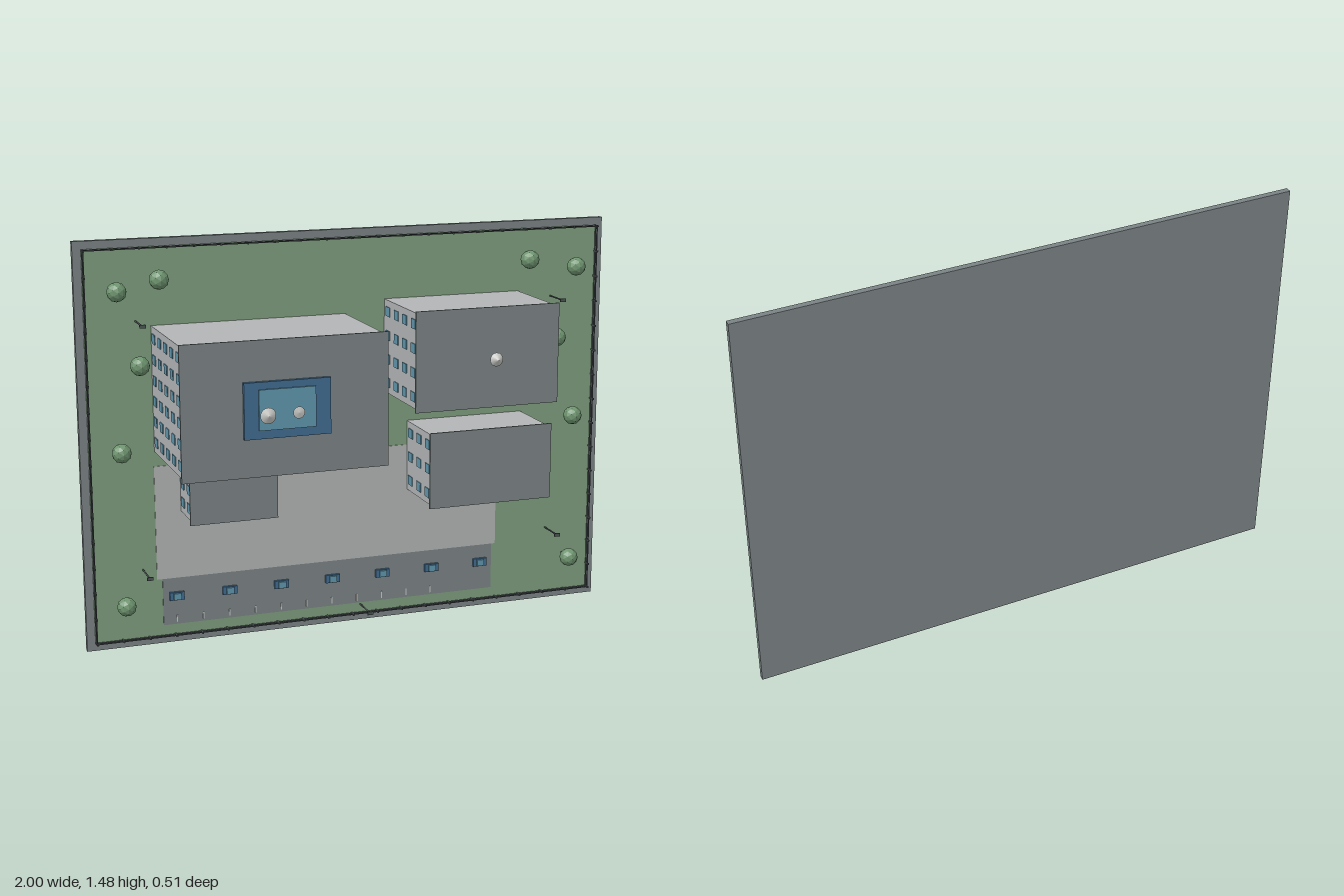
import * as THREE from 'three';

const mat = (name, color) => Object.assign(new THREE.MeshStandardMaterial({ color }), { name });

export function createModel() {
  const M = {
    concrete: mat('concrete', 0x7b8385),
    wall: mat('wall', 0xb2b5b6),
    paving: mat('paving', 0xb0b4b1),
    lawn: mat('lawn', 0x7c9d7c),
    foliage: mat('foliage', 0x6e946f),
    window: mat('window', 0x5f96ac),
    glass: mat('glass', 0x416c90),
    metal: mat('darkMetal', 0x4c5254),
    white: mat('offWhite', 0xc9c9c6),
  };
  M.foliage.flatShading = true;
  const root = new THREE.Group();
  root.name = 'campusModel';

  const add = (name, geo, material, x, y, z, parent = root) => {
    const m = new THREE.Mesh(geo, material);
    m.name = name;
    m.position.set(x, y, z);
    parent.add(m);
    return m;
  };
  // Box given by its limits on each axis
  const box = (name, material, x0, x1, y0, y1, z0, z1, parent) =>
    add(name, new THREE.BoxGeometry(x1 - x0, y1 - y0, z1 - z0), material,
      (x0 + x1) / 2, (y0 + y1) / 2, (z0 + z1) / 2, parent);
  // Round post rising along z
  const post = (name, material, r, x, y, z0, z1, parent) =>
    add(name, new THREE.CylinderGeometry(r, r, z1 - z0, 8).rotateX(Math.PI / 2), material,
      x, y, (z0 + z1) / 2, parent);

  const G = -0.229; // lawn level

  // Base board, lawn and paved areas
  box('baseBoard', M.concrete, -1, 1, 0, 1.475, -0.258, -0.236);
  box('lawn', M.lawn, -0.97, 0.97, 0.03, 1.447, -0.236, G);
  box('plaza', M.paving, -0.74, 0.58, 0.245, 0.665, G, G + 0.003);
  box('path', M.paving, -0.08, 0.07, 0.665, 1.1, G, G + 0.003);
  box('carPark', M.concrete, -0.72, 0.565, 0.07, 0.245, G, G + 0.003);
  box('pool', M.window, -0.1, 0.047, 0.775, 1.005, G, G + 0.007);

  // Buildings: outline of the roof, roof height, window rows and columns, width of the glass front
  const columns = [-0.187, -0.102, -0.018, 0.067, 0.152];
  const building = (name, x0, x1, y0, y1, top, rows, cols, front) => {
    const g = new THREE.Group();
    g.name = name;
    root.add(g);
    const o = 0.009;
    box('walls', M.wall, x0 + o, x1 - o, y0 + o, y1 - o, G, top - 0.007, g);
    box('roof', M.concrete, x0, x1, y0, y1, top - 0.007, top, g);
    const first = y0 + 0.05, step = (y1 - y0 - 0.1) / (rows - 1);
    for (const x of [x0 + o, x1 - o])
      for (let r = 0; r < rows; r++)
        for (let c = 0; c < cols; c++) {
          const y = first + r * step;
          box('window', M.window, x - 0.003, x + 0.003, y - 0.017, y + 0.017,
            columns[c] - 0.02, columns[c] + 0.02, g);
        }
    const cx = (x0 + x1) / 2, w = (x1 - x0) * front / 2;
    box('glassFront', M.window, cx - w, cx + w, y0 - 0.003, y0 + o, G, top - 0.02, g);
  };
  building('mainBlock', -0.745, -0.013, 0.71, 1.18, 0.2, 6, 5, 0.7);
  building('frontWing', -0.655, -0.335, 0.485, 0.72, -0.055, 3, 2, 0.4);
  building('northBlock', 0.12, 0.665, 0.865, 1.225, 0.115, 4, 4, 0.4);
  building('eastBlock', 0.21, 0.685, 0.485, 0.765, 0.03, 3, 3, 0.4);

  // Stepped skylight on the main roof
  box('skylightBase', M.glass, -0.53, -0.225, 0.845, 1.04, 0.2, 0.214);
  box('skylightTop', M.window, -0.48, -0.28, 0.875, 1.015, 0.214, 0.221);

  // Roof aerials: short mast with a shallow cone
  const aerial = (x, y, z, r, h) => {
    const g = new THREE.Group();
    g.name = 'aerial';
    root.add(g);
    post('mast', M.metal, 0.004, x, y, z, z + h * 0.7, g);
    add('dish', new THREE.ConeGeometry(r, h * 0.4, 14).rotateX(Math.PI / 2), M.white, x, y, z + h * 0.8, g);
  };
  aerial(-0.455, 0.93, 0.221, 0.028, 0.035);
  aerial(-0.343, 0.93, 0.221, 0.021, 0.012);
  aerial(0.412, 1.043, 0.115, 0.025, 0.05);

  // Parked cars and bay markings
  for (let i = 0; i < 7; i++) {
    const x = -0.67 + i * 0.1975, y = 0.178, z = G + 0.003;
    const g = new THREE.Group();
    g.name = 'car';
    root.add(g);
    box('carBody', M.glass, x - 0.027, x + 0.027, y - 0.015, y + 0.015, z, z + 0.011, g);
    box('carCabin', M.window, x - 0.014, x + 0.014, y - 0.012, y + 0.012, z + 0.011, z + 0.019, g);
  }
  for (let i = 0; i < 11; i++) {
    const x = -0.67 + i * 0.0985;
    box('bayLine', M.white, x - 0.002, x + 0.002, 0.078, 0.104, G + 0.003, G + 0.005);
  }

  // Trees
  const trees = [[-0.717, 1.34], [0.677, 1.34]];
  for (const s of [-1, 1])
    trees.push([s * 0.866, 1.305], [s * 0.792, 1.043], [s * 0.866, 0.738], [s * 0.866, 0.176]);
  for (const [x, y] of trees) {
    const g = new THREE.Group();
    g.name = 'tree';
    root.add(g);
    post('trunk', M.metal, 0.006, x, y, G, -0.18, g);
    add('crown', new THREE.IcosahedronGeometry(0.035, 1), M.foliage, x, y, -0.168, g);
  }

  // Lamp posts
  for (const [x, y] of [[-0.79, 0.287], [0.79, 0.287], [-0.79, 1.19], [0.79, 1.19], [0.035, 0.062]]) {
    const g = new THREE.Group();
    g.name = 'lampPost';
    root.add(g);
    post('pole', M.metal, 0.003, x, y, G, -0.12, g);
    box('lampHead', M.metal, x - 0.011, x + 0.011, y - 0.006, y + 0.006, -0.12, -0.115, g);
  }

  // Perimeter fence: two rails and evenly spaced posts
  const fx = 0.968, fy0 = 0.032, fy1 = 1.445, t = 0.002;
  for (const z of [-0.222, -0.209]) {
    for (const y of [fy0, fy1]) box('fenceRail', M.metal, -fx, fx, y - t, y + t, z - t, z + t);
    for (const x of [-fx, fx]) box('fenceRail', M.metal, x - t, x + t, fy0, fy1, z - t, z + t);
  }
  const fencePost = (x, y) => box('fencePost', M.metal, x - 0.003, x + 0.003, y - 0.003, y + 0.003, G, -0.2);
  for (let i = 0; i <= 20; i++)
    for (const y of [fy0, fy1]) fencePost(-fx + (2 * fx * i) / 20, y);
  for (let i = 1; i < 15; i++)
    for (const x of [-fx, fx]) fencePost(x, fy0 + ((fy1 - fy0) * i) / 15);

  return root;
}
